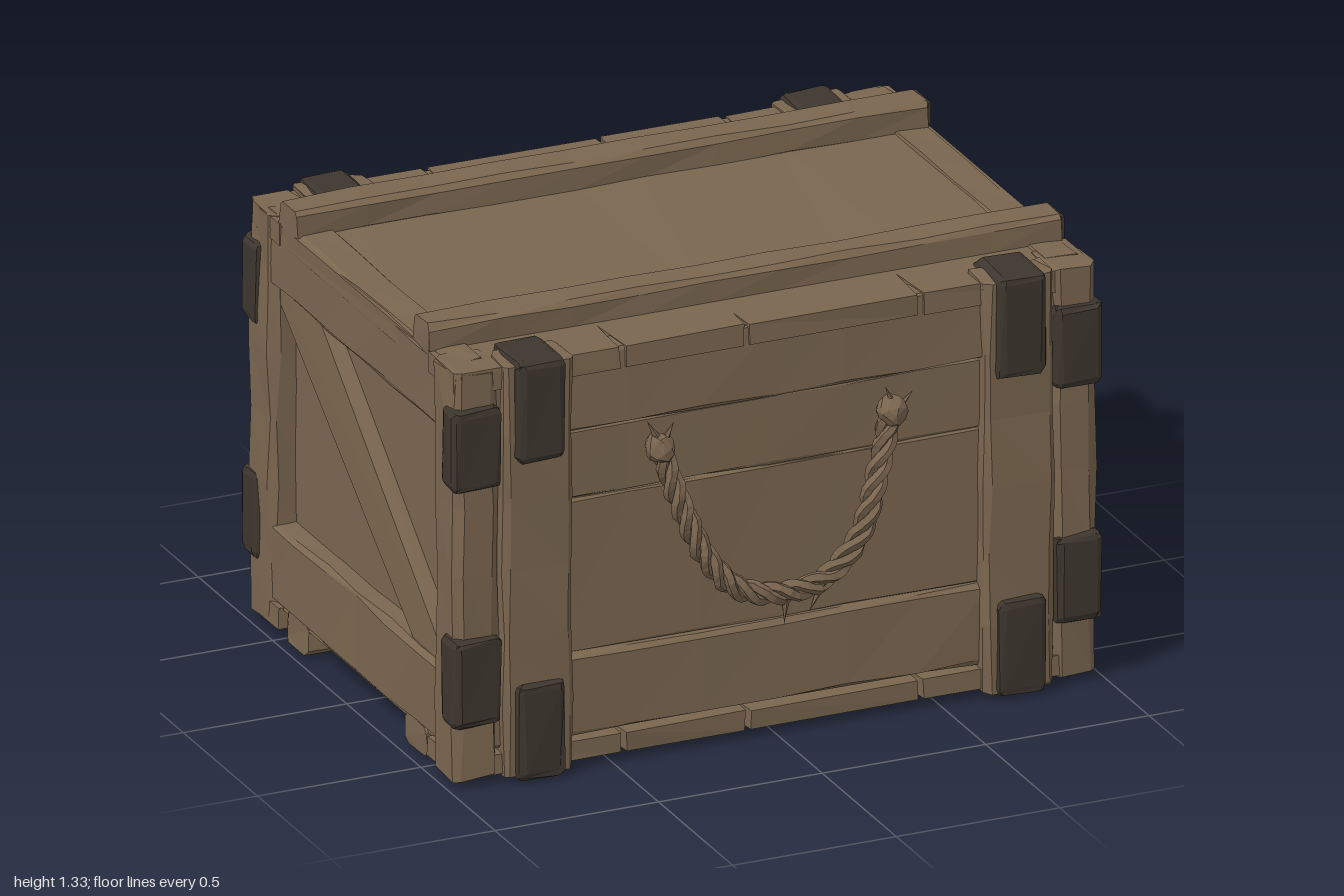
import * as THREE from 'three';
import { RoundedBoxGeometry } from 'three/addons/geometries/RoundedBoxGeometry.js';

const wood = new THREE.MeshStandardMaterial({ color: 0x7a664f });
wood.name = 'weathered wood';
const metal = new THREE.MeshStandardMaterial({ color: 0x3d362e });
metal.name = 'dark iron';
const hemp = new THREE.MeshStandardMaterial({ color: 0x78644e });
hemp.name = 'hemp rope';

// Shift each vertex by a hash of its position, then facet the surface
function weather(geometry, amount) {
  const g = geometry.index ? geometry.toNonIndexed() : geometry;
  const p = g.attributes.position;
  const hash = (a, b, c) => {
    const v = Math.sin(a * 12.99 + b * 78.23 + c * 37.72) * 437.58;
    return (v - Math.floor(v) - 0.5) * 2 * amount;
  };
  for (let i = 0; i < p.count; i++) {
    const [x, y, z] = [p.getX(i), p.getY(i), p.getZ(i)].map(v => Math.round(v * 1000) / 1000);
    p.setXYZ(i, x + hash(x, y, z), y + hash(y, z, x), z + hash(z, x, y));
  }
  g.computeVertexNormals();
  return g;
}

function add(parent, name, geometry, material) {
  const mesh = new THREE.Mesh(geometry, material);
  mesh.name = name;
  parent.add(mesh);
  return mesh;
}

// Plank with chamfered long edges, between two corners
function board(parent, name, [x0, y0, z0], [x1, y1, z1], rough = 0.006, chamfer = 0.015) {
  const size = [x1 - x0, y1 - y0, z1 - z0];
  const axis = size.indexOf(Math.max(...size));
  const w = (axis === 0 ? size[2] : size[0]) / 2;
  const h = (axis === 1 ? size[2] : size[1]) / 2;
  const c = chamfer;
  const section = new THREE.Shape([
    [-w + c, -h], [w - c, -h], [w, -h + c], [w, h - c],
    [w - c, h], [-w + c, h], [-w, h - c], [-w, -h + c],
  ].map(q => new THREE.Vector2(...q)));
  const g = new THREE.ExtrudeGeometry(section, {
    depth: size[axis], steps: Math.ceil(size[axis] / 0.22), bevelEnabled: false,
  });
  g.translate(0, 0, -size[axis] / 2);
  if (axis === 0) g.rotateY(Math.PI / 2);
  if (axis === 1) g.rotateX(-Math.PI / 2);
  g.translate((x0 + x1) / 2, (y0 + y1) / 2, (z0 + z1) / 2);
  return add(parent, name, weather(g, rough), wood);
}

function bracket(parent, name, [x0, y0, z0], [x1, y1, z1]) {
  const g = new RoundedBoxGeometry(x1 - x0, y1 - y0, z1 - z0, 1, 0.022);
  g.translate((x0 + x1) / 2, (y0 + y1) / 2, (z0 + z1) / 2);
  add(parent, name, weather(g, 0.004), metal);
}

// Flat edge board with V-shaped splits along its outer edge
function splitBoard(parent, name, bottom, thickness) {
  const s = new THREE.Shape();
  s.moveTo(-0.975, 0.5);
  s.lineTo(0.975, 0.5);
  s.lineTo(0.975, 0.68);
  s.lineTo(0.96, 0.7);
  for (const [x, depth] of [[0.44, 0.17], [-0.09, 0.1], [-0.47, 0.17]]) {
    s.lineTo(x + 0.012, 0.7);
    s.lineTo(x, 0.7 - depth);
    s.lineTo(x - 0.006, 0.698);
  }
  s.lineTo(-0.96, 0.7);
  s.lineTo(-0.975, 0.68);
  const g = new THREE.ExtrudeGeometry(s, { depth: thickness, bevelEnabled: false });
  g.rotateX(Math.PI / 2).translate(0, bottom + thickness, 0);
  add(parent, name, weather(g, 0.003), wood);
}

// Twisted three-strand rope with knots and frayed ends
function ropeHandle() {
  const rope = new THREE.Group();
  rope.name = 'ropeHandle';
  const path = new THREE.CatmullRomCurve3([
    [-0.36, 0.95, 0.69], [-0.31, 0.79, 0.71], [-0.23, 0.59, 0.735], [-0.13, 0.48, 0.742],
    [0.0, 0.45, 0.748], [0.13, 0.47, 0.742], [0.24, 0.58, 0.735], [0.31, 0.76, 0.71], [0.36, 0.94, 0.69],
  ].map(p => new THREE.Vector3(...p)));
  const out = new THREE.Vector3(0, 0, 1);
  for (let k = 0; k < 3; k++) {
    const points = [];
    for (let i = 0; i <= 80; i++) {
      const t = i / 80;
      const a = t * Math.PI * 14 + k * Math.PI * 2 / 3;
      const side = out.clone().cross(path.getTangentAt(t)).normalize();
      points.push(path.getPointAt(t)
        .addScaledVector(side, Math.cos(a) * 0.019).addScaledVector(out, Math.sin(a) * 0.016));
    }
    const strand = new THREE.TubeGeometry(new THREE.CatmullRomCurve3(points), 110, 0.017, 5);
    add(rope, 'ropeStrand', weather(strand, 0.0015), hemp);
  }
  for (const [x, y, r] of [[-0.355, 0.93, 0.045], [0.355, 0.92, 0.043]]) {
    const knot = add(rope, 'ropeKnot', weather(new THREE.IcosahedronGeometry(r, 1), 0.006), hemp);
    knot.position.set(x, y, 0.7);
  }
  const frays = [
    [-0.375, 0.98, 0.5], [-0.335, 0.965, -0.5], [0.35, 0.955, 0.4], [0.385, 0.94, -0.8],
    [0.005, 0.4, 3.1], [0.1, 0.42, 2.7],
  ];
  for (const [x, y, tilt] of frays) {
    const fray = add(rope, 'frayedEnd', weather(new THREE.ConeGeometry(0.017, 0.085, 5), 0.002), hemp);
    fray.position.set(x, y, y > 0.7 ? 0.705 : 0.75);
    fray.rotation.z = tilt;
  }
  return rope;
}

// Long wall: planks, edge boards, uprights, iron corners and handle
function longWall() {
  const wall = new THREE.Group();
  wall.name = 'longWall';
  board(wall, 'upperPlank', [-0.88, 1.02, 0.6], [0.88, 1.25, 0.69], 0.004, 0.008);
  board(wall, 'middlePlankTop', [-0.88, 0.81, 0.6], [0.88, 1.016, 0.672], 0.003, 0.005);
  board(wall, 'middlePlankBottom', [-0.88, 0.345, 0.6], [0.88, 0.807, 0.672], 0.003, 0.005);
  board(wall, 'lowerPlank', [-0.88, 0.1, 0.6], [0.88, 0.34, 0.69], 0.005, 0.012);
  splitBoard(wall, 'topEdgeBoard', 1.19, 0.065);
  splitBoard(wall, 'bottomEdgeBoard', 0.03, 0.06);
  for (const s of [-1, 1]) {
    const [a, b] = [s * 0.735 - 0.105, s * 0.735 + 0.105];
    board(wall, 'upright', [a, 0.022, 0.6], [b, 1.262, 0.727]);
    bracket(wall, 'upperIronCorner', [a + 0.03, 0.97, 0.56], [b - 0.03, 1.277, 0.75]);
    bracket(wall, 'lowerIronCorner', [a + 0.03, 0.012, 0.56], [b - 0.03, 0.3, 0.75]);
  }
  wall.add(ropeHandle());
  return wall;
}

// End wall: recessed panel, frame, diagonal brace and iron straps
function endWall(parent, s) {
  const wall = new THREE.Group();
  wall.name = s > 0 ? 'leftEndWall' : 'rightEndWall';
  const span = (a, b) => (s > 0 ? [a, b] : [-b, -a]);
  const [xa, xb] = span(0.85, 0.97);
  board(wall, 'topFrameRail', [xa, 1.04, -0.62], [xb, 1.255, 0.62]);
  board(wall, 'bottomFrameRail', [xa, 0.085, -0.62], [xb, 0.33, 0.62]);
  const [pa, pb] = span(0.845, 0.98);
  const [ia, ib] = span(0.845, 0.993);
  for (const f of [-1, 1]) {
    const [z0, z1] = f > 0 ? [0.54, 0.705] : [-0.705, -0.54];
    board(wall, 'cornerPost', [pa, 0.03, z0], [pb, 1.255, z1], 0.008, 0.022);
    const [b0, b1] = f > 0 ? [0.62, 0.725] : [-0.725, -0.62];
    bracket(wall, 'upperIronStrap', [ia, 0.9, b0], [ib, 1.15, b1]);
    bracket(wall, 'lowerIronStrap', [ia, 0.19, b0], [ib, 0.455, b1]);
  }
  const brace = new THREE.Shape([
    [0.55, 0.32], [0.36, 0.32], [-0.545, 1.0], [-0.545, 1.05], [-0.28, 1.05], [0.55, 0.37],
  ].map(q => new THREE.Vector2(...q)));
  const g = new THREE.ExtrudeGeometry(brace, { depth: 0.07, bevelEnabled: false });
  g.rotateY(-Math.PI / 2).translate(s > 0 ? 0.955 : -0.885, 0, 0);
  add(wall, 'diagonalBrace', weather(g, 0.003), wood);
  parent.add(wall);
}

export function createModel() {
  const crate = new THREE.Group();
  crate.name = 'woodenCrate';

  // Inner box whose ends show as the recessed panels
  const core = add(crate, 'innerBox', new THREE.BoxGeometry(1.81, 1.12, 1.3), wood);
  core.position.y = 0.66;

  // Lid and base panels
  board(crate, 'lidPanel', [-0.97, 1.19, -0.54], [0.97, 1.25, 0.54], 0.002, 0.005);
  board(crate, 'basePanel', [-0.96, 0.085, -0.54], [0.96, 0.14, 0.54], 0.002, 0.005);

  // Battens across lid and base with iron end plates
  for (const s of [-1, 1]) {
    const [z0, z1] = [s * 0.45 - 0.058, s * 0.45 + 0.058];
    board(crate, 'lidBatten', [-0.97, 1.235, z0], [0.96, 1.33, z1], 0.004);
    const [b0, b1] = [s * 0.4 - 0.07, s * 0.4 + 0.07];
    board(crate, 'baseBatten', [-0.965, 0.008, b0], [0.96, 0.1, b1], 0.004);
    const lidPlate = add(crate, 'lidBattenPlate', new THREE.BoxGeometry(0.009, 0.065, 0.105), metal);
    lidPlate.position.set(0.967, 1.29, s * 0.45);
    const basePlate = add(crate, 'baseBattenPlate', new THREE.BoxGeometry(0.009, 0.06, 0.125), metal);
    basePlate.position.set(0.967, 0.052, s * 0.4);
  }

  const front = longWall();
  const back = longWall();
  back.rotation.y = Math.PI;
  crate.add(front, back);
  endWall(crate, 1);
  endWall(crate, -1);

  crate.position.z = -0.01;
  const model = new THREE.Group();
  model.name = 'crate';
  model.add(crate);
  return model;
}
